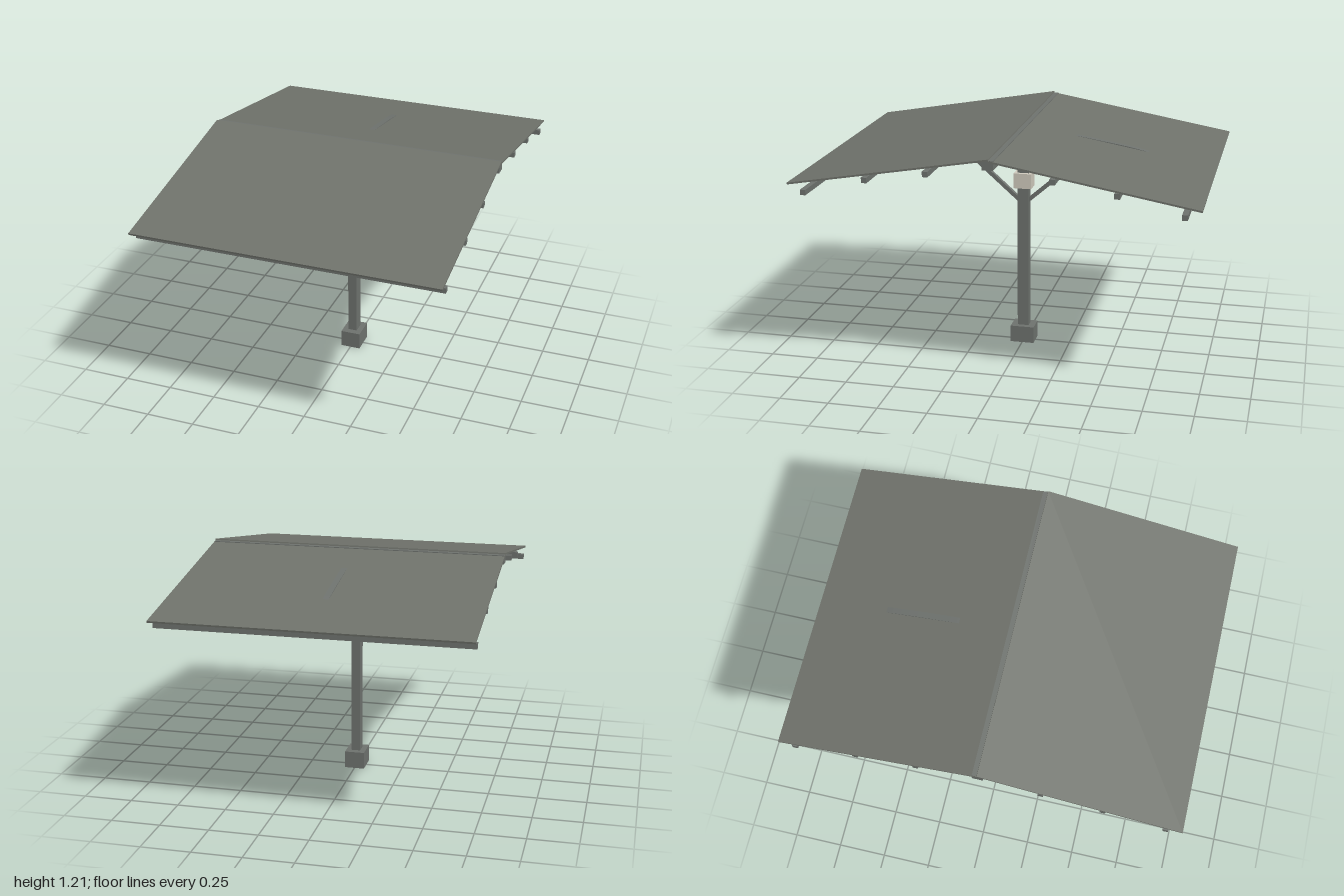
import * as THREE from 'three';

const mat = (name, color) => {
  const m = new THREE.MeshStandardMaterial({ color });
  m.name = name;
  return m;
};

export function createModel() {
  const group = new THREE.Group();
  const roofGrey = mat('roof grey', 0x70736c);
  const steelGrey = mat('steel grey', 0x6f736f);
  const cream = mat('cream', 0xd0cbbe);

  const add = (name, geometry, material) => {
    const mesh = new THREE.Mesh(geometry, material);
    mesh.name = name;
    group.add(mesh);
    return mesh;
  };
  const box = (name, w, h, d, y, z, material) =>
    add(name, new THREE.BoxGeometry(w, h, d), material).position.set(0, y, z);

  // Bar that follows a centre line of [z, y] points, extruded across x
  const bar = (name, line, thick, width, material) => {
    const pts = line.map(([z, y]) => new THREE.Vector2(z, y));
    const upper = [], lower = [];
    pts.forEach((p, i) => {
      const a = pts[Math.max(i - 1, 0)], b = pts[Math.min(i + 1, pts.length - 1)];
      const t = b.clone().sub(a).normalize().multiplyScalar(thick / 2);
      upper.push(new THREE.Vector2(p.x - t.y, p.y + t.x));
      lower.push(new THREE.Vector2(p.x + t.y, p.y - t.x));
    });
    const geo = new THREE.ExtrudeGeometry(new THREE.Shape([...upper, ...lower.reverse()]),
      { depth: width, bevelEnabled: false });
    geo.translate(0, 0, -width / 2);
    geo.rotateY(-Math.PI / 2);
    add(name, geo, material);
  };

  // Footing, column and control box
  box('footing', 0.104, 0.09, 0.126, 0.045, 0, steelGrey);
  box('column', 0.048, 0.92, 0.06, 0.54, 0, steelGrey);
  box('collarBox', 0.087, 0.08, 0.094, 0.9, 0, cream);

  // Gently arched rafter from the kink out to the eave
  const arc = new THREE.SplineCurve([[0.11, 1.15], [0.25, 1.143], [0.4, 1.121],
    [0.575, 1.0915], [0.75, 1.05], [0.92, 1.008]].map(p => new THREE.Vector2(...p))).getPoints(20);

  for (const s of [1, -1]) {
    const side = s > 0 ? 'front' : 'back';
    const flip = ([z, y]) => [s * z, y];
    bar(side + 'Rafter', arc.map(p => [s * p.x, p.y]), 0.025, 0.03, steelGrey);
    bar(side + 'Fork', [[0.005, 0.995], [0.118, 1.152]].map(flip), 0.03, 0.03, steelGrey);
    bar(side + 'Brace', [[0.025, 0.79], [0.4, 1.12]].map(flip), 0.02, 0.024, steelGrey);

    // Purlins
    for (const [z, y] of [[0.305, 1.116], [0.608, 1.068], [0.92, 0.988]])
      box(side + 'Purlin', 1.53, 0.027, 0.027, y, s * z, steelGrey);
  }

  // Ridge beam
  box('ridgeBeam', 1.53, 0.046, 0.054, 1.177, 0.001, steelGrey);

  // Roof panels
  bar('frontRoofPanel', [[-0.002, 1.203], [0.999, 1.028]], 0.009, 1.534, roofGrey);
  bar('backRoofPanel', [[0, 1.196], [-0.999, 1.022]], 0.009, 1.534, roofGrey);

  return group;
}
